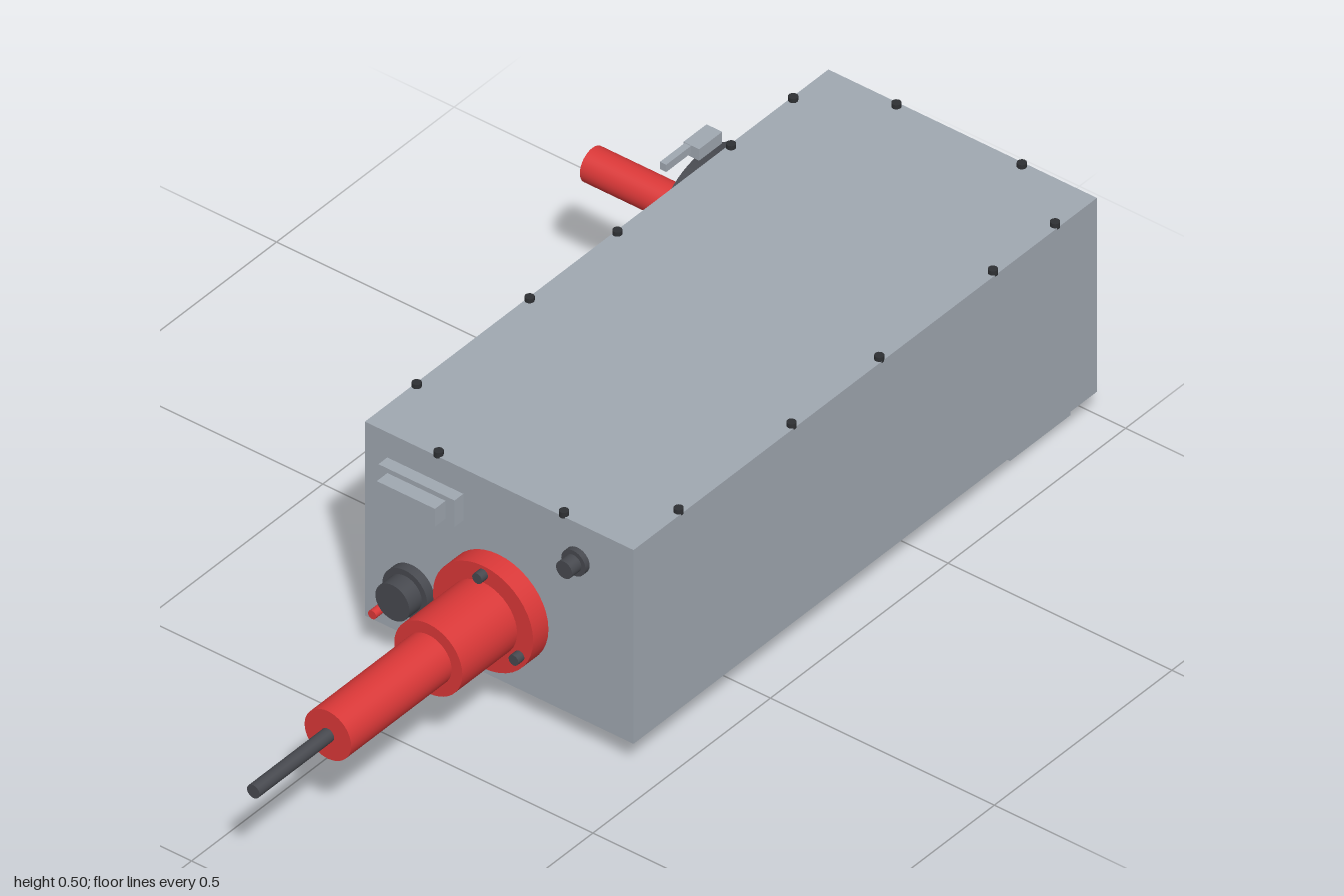
import * as THREE from 'three';

const mat = (name, color) => {
  const m = new THREE.MeshStandardMaterial({ color });
  m.name = name;
  return m;
};

export function createModel() {
  const grey = mat('casing grey', 0xa0a8b1);
  const dark = mat('dark metal', 0x47494f);
  const black = mat('screw black', 0x2e3033);
  const red = mat('insulator red', 0xdb3838);
  const blue = mat('window blue', 0x6ca6c8);

  const model = new THREE.Group();
  model.name = 'powerUnit';

  const add = (name, geometry, material, x = 0, y = 0, z = 0, parent = model) => {
    const mesh = new THREE.Mesh(geometry, material);
    mesh.name = name;
    mesh.position.set(x, y, z);
    parent.add(mesh);
    return mesh;
  };
  // Box given by its limits on each axis
  const box = (name, material, x0, x1, y0, y1, z0, z1, parent) =>
    add(name, new THREE.BoxGeometry(x1 - x0, y1 - y0, z1 - z0), material,
      (x0 + x1) / 2, (y0 + y1) / 2, (z0 + z1) / 2, parent);
  // Cylinders lying along x or z, given by their two ends
  const rodX = (name, material, r, x0, x1, y, z, parent, sides = 40) =>
    add(name, new THREE.CylinderGeometry(r, r, x1 - x0, sides).rotateZ(Math.PI / 2),
      material, (x0 + x1) / 2, y, z, parent);
  const rodZ = (name, material, r, z0, z1, x, y, parent, sides = 40) =>
    add(name, new THREE.CylinderGeometry(r, r, z1 - z0, sides).rotateX(Math.PI / 2),
      material, x, y, (z0 + z1) / 2, parent);
  const group = (name) => {
    const g = new THREE.Group();
    g.name = name;
    model.add(g);
    return g;
  };
  const circleHole = (x, y, r) => new THREE.Path().absarc(x, y, r, 0, Math.PI * 2, true);

  // Casing
  box('casing', grey, -0.31, 0.995, 0.055, 0.48, -0.16, 0.44);

  // Lid screws around the top edge
  const screws = group('lidScrews');
  const screwGeometry = new THREE.CylinderGeometry(0.009, 0.009, 0.012, 16);
  const screw = (x, z) => add('lidScrew', screwGeometry, black, x, 0.483, z, screws);
  for (const x of [-0.173, 0.145, 0.392, 0.712, 0.887]) {
    screw(x, -0.153);
    screw(x, 0.432);
  }
  for (const z of [0, 0.28]) {
    screw(-0.304, z);
    screw(0.985, z);
  }

  // Heat sink under the left end
  const sink = group('heatSink');
  box('heatSinkBase', grey, 0.8, 0.97, 0.045, 0.055, -0.13, 0.41, sink);
  for (let i = 0; i < 9; i++) {
    const z = -0.112 + i * 0.0636;
    box('heatSinkFin', grey, 0.8, 0.97, 0, 0.046, z - 0.004, z + 0.004, sink);
  }

  // Mounting plate with drilled holes under the casing
  const plate = new THREE.Shape([[-0.158, -0.158], [0.158, -0.158], [0.158, 0.158], [-0.158, 0.158]]
    .map(([x, y]) => new THREE.Vector2(x, y)));
  for (const x of [-0.115, 0, 0.115]) {
    for (const y of [-0.115, 0.115]) plate.holes.push(circleHole(x, y, 0.01));
  }
  const plateGeometry = new THREE.ExtrudeGeometry(plate, { depth: 0.03, bevelEnabled: false });
  plateGeometry.rotateX(-Math.PI / 2);
  add('mountingPlate', plateGeometry, grey, 0.323, 0.026, 0.142);

  // Round window on the back: ring, pane, bolts and red rod
  const port = group('backPort');
  const px = 0.683, py = 0.326;
  const ring = new THREE.Shape().absarc(0, 0, 0.141, 0, Math.PI * 2, false);
  ring.holes.push(circleHole(0, 0, 0.1));
  add('portRing', new THREE.ExtrudeGeometry(ring, { depth: 0.036, bevelEnabled: false, curveSegments: 32 }),
    dark, px, py, -0.195, port);
  rodZ('portPane', blue, 0.1, -0.176, -0.159, px, py, port);
  rodZ('portRod', red, 0.035, -0.44, -0.17, px, py, port);
  for (let i = 0; i < 4; i++) {
    const a = Math.PI / 4 + i * Math.PI / 2;
    rodZ('portBolt', dark, 0.01, -0.205, -0.194, px + 0.118 * Math.cos(a), py + 0.118 * Math.sin(a), port, 16);
  }

  // Small sensor above the back window
  const sensor = group('sensor');
  box('sensorBody', grey, 0.65, 0.715, 0.477, 0.502, -0.21, -0.175, sensor);
  box('sensorTail', grey, 0.58, 0.65, 0.485, 0.501, -0.207, -0.193, sensor);

  // Stepped red bushing with its lead on the right end
  const bushing = group('bushing');
  const by = 0.217, bz = 0.138;
  rodX('bushingFlange', red, 0.112, -0.353, -0.309, by, bz, bushing);
  rodX('bushingCollar', red, 0.076, -0.507, -0.35, by, bz, bushing);
  rodX('bushingSleeve', red, 0.052, -0.79, -0.505, by, bz, bushing);
  rodX('bushingLead', dark, 0.014, -1, -0.788, by, bz, bushing, 20);
  for (let i = 0; i < 3; i++) {
    const a = i * Math.PI * 2 / 3;
    rodX('bushingBolt', dark, 0.011, -0.37, -0.352, by + 0.094 * Math.cos(a), bz + 0.094 * Math.sin(a), bushing, 16);
  }

  // Connectors on the right end
  const connectors = group('connectors');
  box('socketPlate', grey, -0.335, -0.309, 0.367, 0.425, -0.11, 0.06, connectors);
  box('socketBody', grey, -0.365, -0.334, 0.376, 0.415, -0.09, 0.04, connectors);
  rodX('smallConnectorBase', dark, 0.027, -0.322, -0.309, 0.4, 0.315, connectors);
  rodX('smallConnector', dark, 0.018, -0.348, -0.32, 0.4, 0.315, connectors);
  rodX('largeConnectorBase', dark, 0.05, -0.33, -0.309, 0.165, -0.055, connectors);
  rodX('largeConnector', dark, 0.038, -0.365, -0.328, 0.165, -0.055, connectors);
  rodX('redPin', red, 0.009, -0.353, -0.309, 0.105, -0.11, connectors, 16);

  return model;
}
